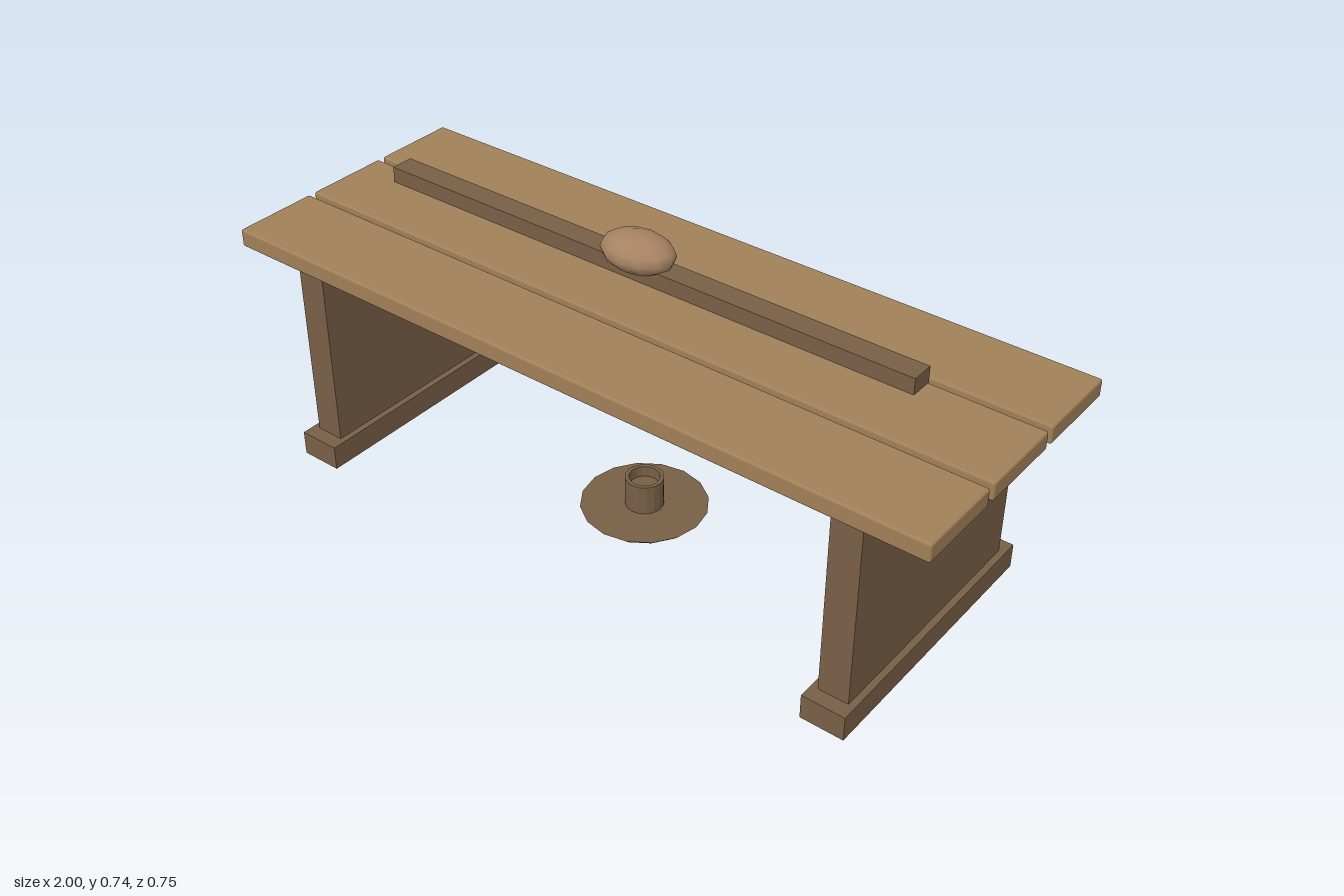
import * as THREE from 'three';
import { RoundedBoxGeometry } from 'three/addons/geometries/RoundedBoxGeometry.js';

const plankWood = new THREE.MeshStandardMaterial({ color: 0xa08058 });
const darkWood = new THREE.MeshStandardMaterial({ color: 0x785f46 });
const crust = new THREE.MeshStandardMaterial({ color: 0xa58262 });
const holderMaterial = new THREE.MeshStandardMaterial({ color: 0x785f46, flatShading: true, side: THREE.DoubleSide });

export function createModel() {
  const model = new THREE.Group();
  model.name = 'table';

  const add = (name, geometry, material, x, y, z) => {
    const mesh = new THREE.Mesh(geometry, material);
    mesh.name = name;
    mesh.position.set(x, y, z);
    model.add(mesh);
    return mesh;
  };

  // Three softly rounded planks form the top
  for (const z of [-0.249, 0.001, 0.251]) {
    add('topPlank', new RoundedBoxGeometry(2, 0.048, 0.232, 2, 0.006), plankWood, 0, 0.601, z);
  }

  // Panel legs, each on a wider foot
  for (const x of [-0.793, 0.788]) {
    add('legPanel', new THREE.BoxGeometry(0.08, 0.5, 0.666), darkWood, x, 0.317, 0);
    add('foot', new THREE.BoxGeometry(0.115, 0.067, 0.746), darkWood, x, 0.0335, 0);
  }

  // Long bar lying on the top
  add('bar', new THREE.BoxGeometry(1.58, 0.043, 0.063), darkWood, -0.085, 0.6465, -0.083);

  // Flattened ball resting on the bar
  const ball = add('ball', new THREE.SphereGeometry(1, 12, 8), crust, -0.085, 0.687, -0.083);
  ball.scale.set(0.103, 0.048, 0.074);

  // Flared plate with a hollow cup, standing on the ground
  const profile = [
    [0, 0], [0.145, 0], [0.165, 0.018], [0.05, 0.018],
    [0.05, 0.1], [0.04, 0.1], [0.04, 0.07], [0, 0.07],
  ].map(([r, y]) => new THREE.Vector2(r, y));
  add('holder', new THREE.LatheGeometry(profile, 16), holderMaterial, 0, 0, 0);

  return model;
}
